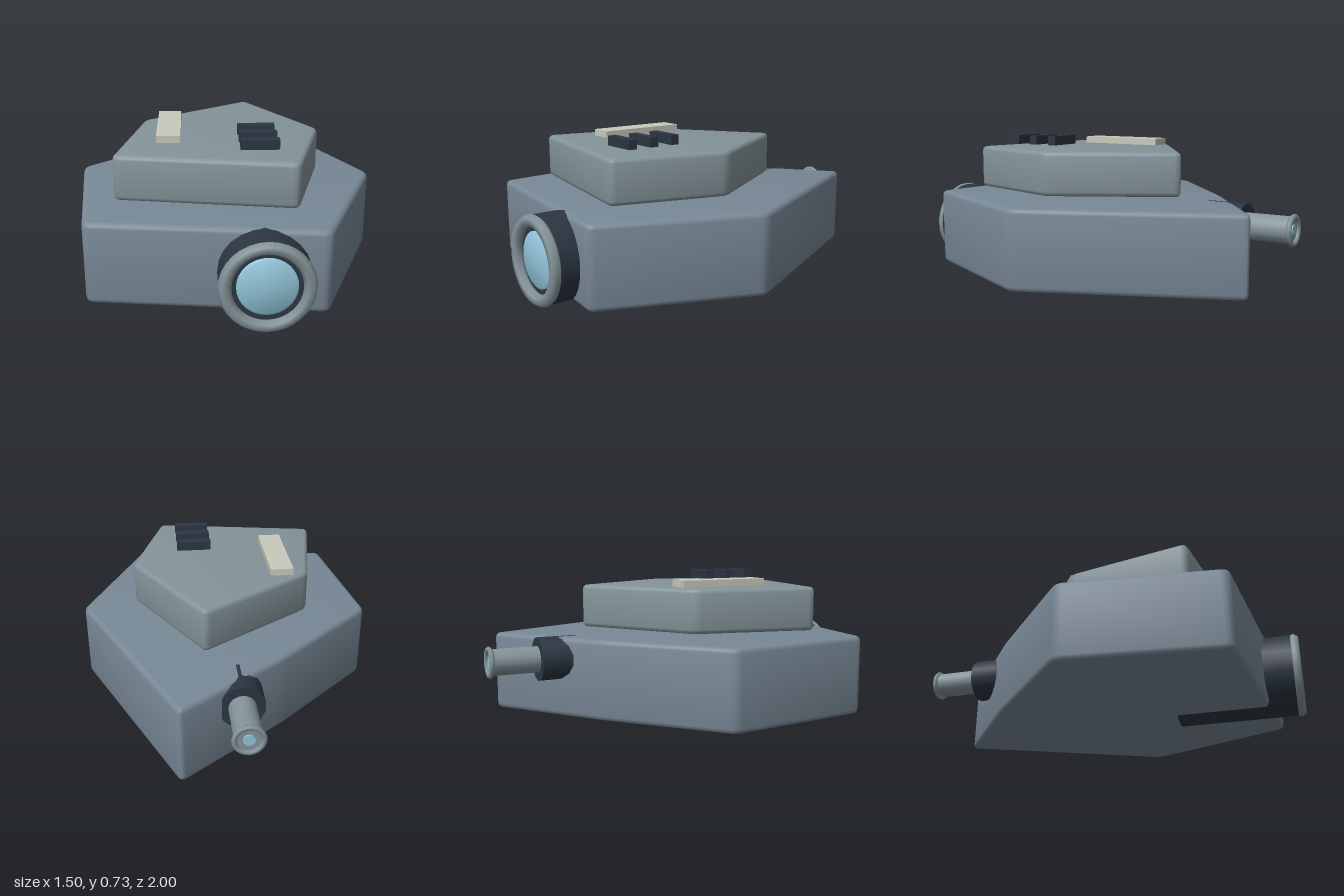
import * as THREE from 'three';
import { toCreasedNormals } from 'three/addons/utils/BufferGeometryUtils.js';

const mat = (color, side = THREE.FrontSide) => new THREE.MeshStandardMaterial({ color, side });
const hull = mat(0x788896);
const metal = mat(0x84949a);
const dark = mat(0x2c3642);
const cream = mat(0xc9cabc);
const glass = mat(0x92c6da);

function add(group, name, geometry, material, x = 0, y = 0, z = 0) {
  const mesh = new THREE.Mesh(geometry, material);
  mesh.name = name;
  mesh.position.set(x, y, z);
  group.add(mesh);
  return mesh;
}

// Outline from [x, z] corners, each corner softened by a small curve
function outline(corners, r) {
  const pts = corners.map(([x, z]) => new THREE.Vector2(x, -z));
  const shape = new THREE.Shape();
  pts.forEach((p, i) => {
    const prev = pts[(i + pts.length - 1) % pts.length];
    const next = pts[(i + 1) % pts.length];
    const a = p.clone().add(prev.clone().sub(p).setLength(r));
    const b = p.clone().add(next.clone().sub(p).setLength(r));
    if (i === 0) shape.moveTo(a.x, a.y);
    else shape.lineTo(a.x, a.y);
    shape.quadraticCurveTo(p.x, p.y, b.x, b.y);
  });
  shape.closePath();
  return shape;
}

// Horizontal slab with rounded edges between two heights
function slab(corners, y0, y1, bevel) {
  const geo = new THREE.ExtrudeGeometry(outline(corners, 0.035), {
    depth: y1 - y0 - 2 * bevel, bevelThickness: bevel, bevelSize: bevel,
    bevelOffset: -bevel, bevelSegments: 3, curveSegments: 3,
  });
  geo.rotateX(-Math.PI / 2);
  geo.translate(0, y0 + bevel, 0);
  return toCreasedNormals(geo, 0.7);
}

// Cylinder lying along z between z0 and z1
function barrel(r, z0, z1, sides) {
  const geo = new THREE.CylinderGeometry(r, r, z1 - z0, sides);
  geo.rotateX(Math.PI / 2);
  geo.translate(0, 0, (z0 + z1) / 2);
  return geo;
}

export function createModel() {
  const model = new THREE.Group();

  // Irregular main body and the smaller deck floating above it
  add(model, 'body', slab([
    [-0.757, -0.045], [-0.67, 0.738], [0.425, 0.878], [0.75, 0.12], [0.285, -0.902], [-0.235, -0.51],
  ], 0.03, 0.43, 0.025), hull);
  add(model, 'upperDeck', slab([
    [-0.425, -0.085], [-0.547, 0.535], [0.307, 0.685], [0.472, 0.12], [0.138, -0.47],
  ], 0.455, 0.675, 0.022), metal);

  // Light panel and three dark bars on the deck
  add(model, 'panel', new THREE.BoxGeometry(0.118, 0.035, 0.465), cream, -0.288, 0.695, 0.123);
  for (const z of [0.255, 0.378, 0.5]) {
    add(model, 'bar', new THREE.BoxGeometry(0.182, 0.048, 0.045), dark, 0.14, 0.714, z);
  }

  // Front lens assembly
  const lens = new THREE.Group();
  lens.name = 'frontLens';
  lens.position.set(0.137, 0.22, 0);
  model.add(lens);
  add(lens, 'lensBarrel', barrel(0.21, 0.355, 0.96, 24), dark);
  add(lens, 'lensRing', new THREE.TorusGeometry(0.185, 0.03, 6, 32), metal, 0, 0, 0.974);
  const profile = [[0, 0.975], [0.125, 0.975], [0.135, 0.968], [0.135, 0.94]]
    .map(([r, z]) => new THREE.Vector2(r, z)).reverse();
  const glassGeo = new THREE.LatheGeometry(profile, 32);
  glassGeo.rotateX(Math.PI / 2);
  add(lens, 'lensGlass', toCreasedNormals(glassGeo, 0.7), glass);

  // Rear eyepiece
  const eyepiece = new THREE.Group();
  eyepiece.name = 'eyepiece';
  eyepiece.position.set(-0.01, 0.322, 0);
  model.add(eyepiece);
  add(eyepiece, 'collar', barrel(0.11, -0.75, -0.55, 14), dark);
  add(eyepiece, 'tube', barrel(0.066, -0.985, -0.7, 20), metal);
  add(eyepiece, 'endRing', new THREE.TorusGeometry(0.066, 0.013, 6, 24), metal, 0, 0, -0.988);
  add(eyepiece, 'eyeGlass', barrel(0.028, -0.992, -0.97, 16), glass);

  return model;
}
